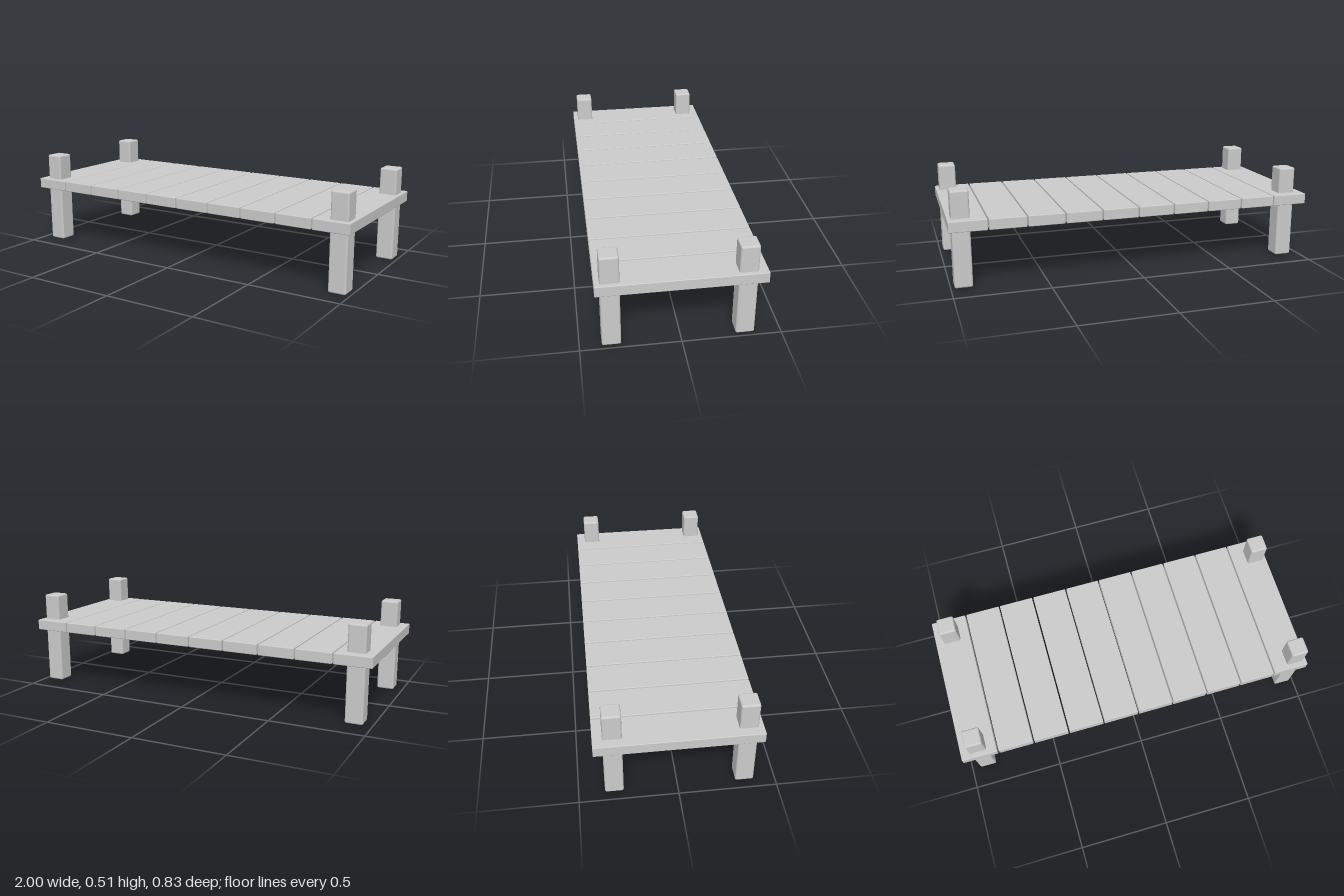
import * as THREE from 'three';
import { RoundedBoxGeometry } from 'three/addons/geometries/RoundedBoxGeometry.js';

const PLANKS = 10, PITCH = 0.2, GAP = 0.007;
const DECK_BOTTOM = 0.312, DECK_TOP = 0.37, DECK_DEPTH = 0.834;
const POST_WIDTH = 0.095, POST_HEIGHT = 0.514;

export function createModel() {
  const group = new THREE.Group();
  group.name = 'dock';
  const material = new THREE.MeshStandardMaterial({ color: 0xcccccc });

  const addBlock = (name, size, position, radius) => {
    const mesh = new THREE.Mesh(new RoundedBoxGeometry(...size, 2, radius), material);
    mesh.name = name;
    mesh.position.set(...position);
    group.add(mesh);
  };

  // Deck planks, with narrow gaps between them and flush outer ends
  for (let i = 0; i < PLANKS; i++) {
    const left = -1 + i * PITCH + (i > 0 ? GAP / 2 : 0);
    const right = -1 + (i + 1) * PITCH - (i < PLANKS - 1 ? GAP / 2 : 0);
    addBlock(`plank${i + 1}`,
      [right - left, DECK_TOP - DECK_BOTTOM, DECK_DEPTH],
      [(left + right) / 2, (DECK_TOP + DECK_BOTTOM) / 2, 0], 0.004);
  }

  // Corner posts passing up through the deck
  for (const [side, x] of [['Right', -0.905], ['Left', 0.933]]) {
    for (const [end, z] of [['front', 0.343], ['back', -0.32]]) {
      addBlock(`${end}${side}Post`,
        [POST_WIDTH, POST_HEIGHT, POST_WIDTH], [x, POST_HEIGHT / 2, z], 0.01);
    }
  }

  return group;
}
